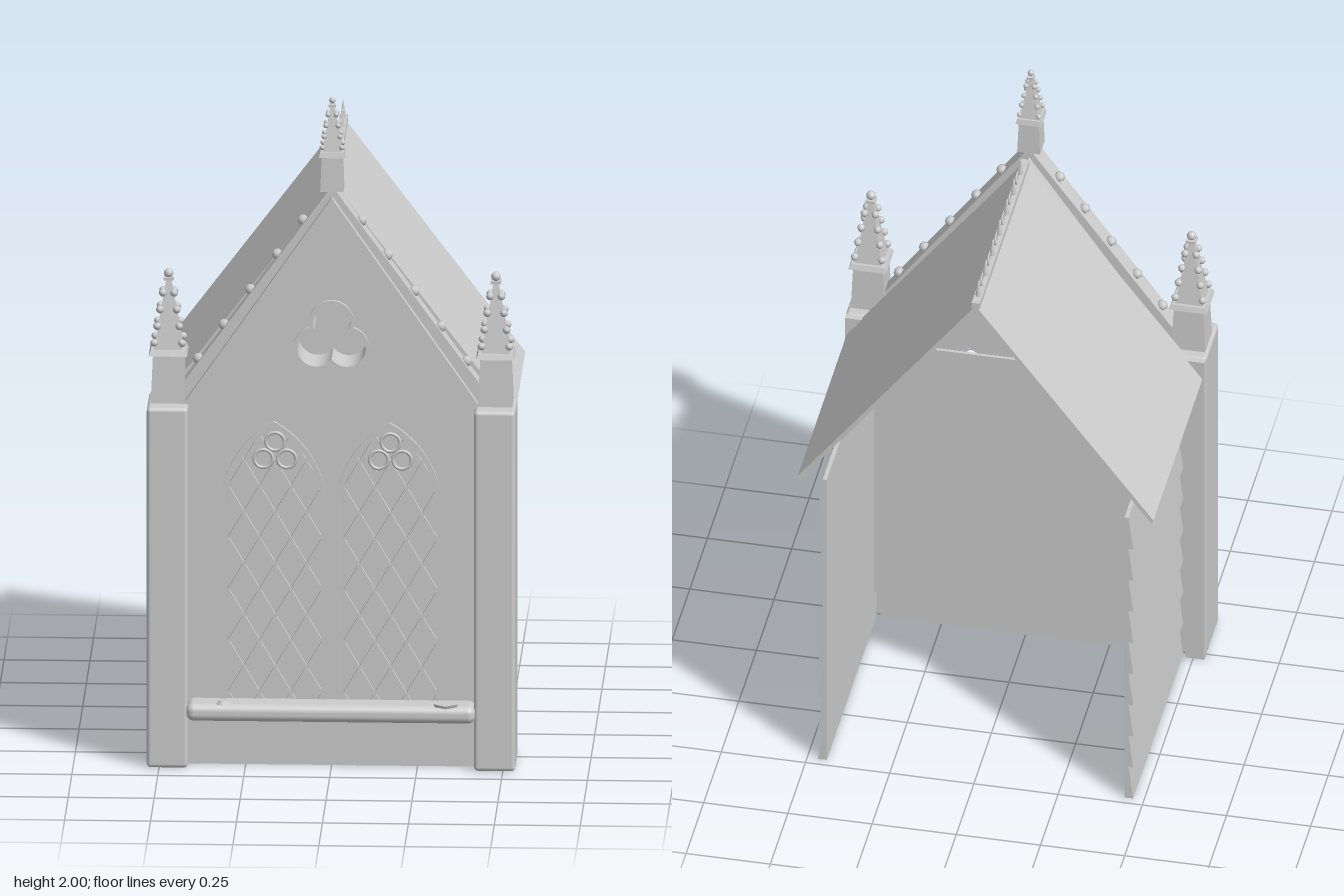
import * as THREE from 'three';
import { RoundedBoxGeometry } from 'three/addons/geometries/RoundedBoxGeometry.js';

const stone = new THREE.MeshStandardMaterial({ color: 0xcccccc });
stone.name = 'stone';

function add(parent, name, geometry, x = 0, y = 0, z = 0) {
  const mesh = new THREE.Mesh(geometry, stone);
  mesh.name = name;
  mesh.position.set(x, y, z);
  parent.add(mesh);
  return mesh;
}

const box = (w, h, d) => new THREE.BoxGeometry(w, h, d);

function extrude(shape, depth) {
  return new THREE.ExtrudeGeometry(shape, { depth, bevelEnabled: false, curveSegments: 16 });
}

function polygon(points) {
  return new THREE.Shape(points.map(([x, y]) => new THREE.Vector2(x, y)));
}

// Pointed window outline, widened by `grow`
const HALF = 0.1375, SPRING = 0.78, WINDOW_X = 0.168;
function lancet(cx, bottom, grow = 0, path = new THREE.Shape()) {
  const w = HALF + grow, r = HALF + w, a = Math.acos(HALF / r);
  path.moveTo(cx - w, bottom);
  path.lineTo(cx + w, bottom);
  path.lineTo(cx + w, SPRING);
  path.absarc(cx - HALF, SPRING, r, 0, a, false);
  path.absarc(cx + HALF, SPRING, r, Math.PI - a, Math.PI, false);
  path.closePath();
  return path;
}

// Three-lobed opening
function trefoil(r, path = new THREE.Shape()) {
  const d = 0.052, cy = 1.285;
  const t = d / 2 + Math.sqrt(r * r - 0.75 * d * d);
  const phi = Math.atan2(t * Math.sin(Math.PI / 3), t / 2 - d);
  for (let i = 0; i < 3; i++) {
    const a = Math.PI / 2 + i * Math.PI * 2 / 3;
    path.absarc(d * Math.cos(a), cy + d * Math.sin(a), r, a - phi, a + phi, false);
  }
  path.closePath();
  return path;
}

// Square spire with corner knobs and a ball finial
function pinnacle(name, s, baseHeight, spireHeight) {
  const g = new THREE.Group();
  g.name = name;
  const square = (top, bottom, h) => new THREE.CylinderGeometry(
    top * Math.SQRT1_2, bottom * Math.SQRT1_2, h, 4).rotateY(Math.PI / 4).toNonIndexed();
  const flat = (geo) => { geo.computeVertexNormals(); return geo; };
  add(g, 'pinnacleBase', flat(square(0.088 * s, 0.1 * s, baseHeight)), 0, baseHeight / 2, 0);
  add(g, 'pinnacleCornice', flat(square(0.1 * s, 0.112 * s, 0.016)), 0, baseHeight + 0.006, 0);
  const y0 = baseHeight + 0.014;
  add(g, 'spire', flat(square(0.012 * s, 0.082 * s, spireHeight)), 0, y0 + spireHeight / 2, 0);
  for (let level = 0; level < 4; level++) {
    const f = 0.1 + level * 0.23;
    const offset = (0.041 - 0.035 * f) * s + 0.003;
    for (const sx of [-1, 1]) for (const sz of [-1, 1]) {
      add(g, 'spireKnob', new THREE.SphereGeometry(0.0115 * s, 8, 6),
        sx * offset, y0 + f * spireHeight, sz * offset);
    }
  }
  add(g, 'finialCollar', box(0.03 * s, 0.008, 0.03 * s), 0, y0 + spireHeight - 0.004, 0);
  add(g, 'finialBall', new THREE.SphereGeometry(0.014 * s, 12, 8), 0, y0 + spireHeight + 0.012, 0);
  return g;
}

export function createModel() {
  const model = new THREE.Group();
  model.name = 'chapel';

  // Gabled front wall with window and trefoil openings
  const front = polygon([[-0.43, 0], [0.43, 0], [0.43, 1.085], [0, 1.708], [-0.43, 1.085]]);
  for (const s of [-1, 1]) front.holes.push(lancet(s * WINDOW_X, 0.13, 0, new THREE.Path()));
  front.holes.push(trefoil(0.055, new THREE.Path()));
  add(model, 'frontWall', extrude(front, 0.128), 0, 0, 0.235);
  add(model, 'trefoilBacking', extrude(trefoil(0.056), 0.01), 0, 0, 0.236);
  const trefoilRing = trefoil(0.065);
  trefoilRing.holes.push(trefoil(0.055, new THREE.Path()));
  add(model, 'trefoilMoulding', extrude(trefoilRing, 0.014), 0, 0, 0.362);

  // Raised coping along the gable
  add(model, 'gableCoping', extrude(polygon([[-0.43, 1.085], [0, 1.70], [0.43, 1.085],
    [0.43, 1.145], [0, 1.738], [-0.43, 1.145]]), 0.057), 0, 0, 0.28);

  // Panel set behind the windows
  add(model, 'innerPanel', box(0.88, 0.91, 0.01), 0, 0.575, 0.195);

  for (const s of [-1, 1]) {
    const cx = s * WINDOW_X;
    const hood = lancet(cx, 0.19, 0.0152);
    hood.holes.push(lancet(cx, 0.191, 0, new THREE.Path()));
    add(model, 'windowMoulding', extrude(hood, 0.012), 0, 0, 0.362);

    // Diagonal lattice bars trimmed to the pointed arch
    const inside = (u, y) => Math.abs(u) < HALF && y > 0.13 &&
      (y < SPRING || Math.hypot(Math.abs(u) + HALF, y - SPRING) < 2 * HALF);
    const slope = 1.7;
    for (const dir of [-1, 1]) for (let c = -0.2; c < 1.4; c += 0.155) {
      const ys = [];
      for (let y = 0.13; y < 1.03; y += 0.004) if (inside(dir * (y - c) / slope, y)) ys.push(y);
      if (ys.length < 5) continue;
      const y0 = ys[0], y1 = ys[ys.length - 1], mid = (y0 + y1) / 2;
      const length = (y1 - y0) * Math.hypot(1, 1 / slope);
      const bar = add(model, 'latticeBar', box(0.007, length, 0.014),
        cx + dir * (mid - c) / slope, mid, 0.262);
      bar.rotation.z = -dir * Math.atan(1 / slope);
    }
    // Three tracery rings
    for (const [u, y] of [[0, 0.952], [-0.034, 0.9], [0.034, 0.9]]) {
      add(model, 'traceryRing', new THREE.TorusGeometry(0.027, 0.005, 6, 20), cx + u, y, 0.285);
    }

    // Corner pillar and its pinnacle
    add(model, 'cornerPillar', new RoundedBoxGeometry(0.12, 1.085, 0.185, 2, 0.012),
      s * 0.476, 0.5425, 0.3275);
    add(model, 'pillarBackStrip', box(0.055, 1.08, 0.03), s * 0.506, 0.541, 0.236);
    const side = pinnacle('sidePinnacle', 1, 0.145, 0.21);
    side.position.set(s * 0.476, 1.085, 0.318);
    model.add(side);

    // Side wall with overlapping boards
    const profile = [[s * 0.442, 0], [s * 0.442, 1.02]];
    const boards = 9, h = 1.02 / boards;
    for (let i = boards - 1; i >= 0; i--) {
      profile.push([s * 0.454, (i + 1) * h], [s * 0.468, i * h]);
    }
    add(model, 'sideWall', extrude(polygon(profile), 0.71), 0, 0, -0.475);

    // Roof slope
    add(model, 'roofSlope', extrude(polygon([[0, 1.722], [s * 0.528, 1.022],
      [s * 0.522, 1.01], [0, 1.702]]), 0.71), 0, 0, -0.475);

    // Knobs on the coping
    for (const x of [0.085, 0.16, 0.238, 0.315, 0.39]) {
      const knob = add(model, 'gableKnob', new THREE.SphereGeometry(0.0165, 7, 5),
        s * x, 1.744 - 1.379 * x, 0.308);
      knob.rotation.z = -s * 0.94;
    }
  }

  // Centre pinnacle on the gable peak
  const peak = pinnacle('peakPinnacle', 0.68, 0.105, 0.137);
  peak.position.set(0, 1.722, 0.312);
  model.add(peak);

  // Rounded window sill with two flat pebbles
  add(model, 'windowSill', new RoundedBoxGeometry(0.84, 0.052, 0.1, 4, 0.022), 0, 0.174, 0.4);
  add(model, 'largePebble', new THREE.CylinderGeometry(0.037, 0.034, 0.009, 5), 0.335, 0.204, 0.432);
  add(model, 'smallPebble', new THREE.CylinderGeometry(0.016, 0.024, 0.012, 5), -0.31, 0.204, 0.428);

  // Ridge with alternating spikes and rings
  add(model, 'ridgeCap', box(0.024, 0.02, 0.71), 0, 1.722, -0.12);
  for (let i = 0; i < 7; i++) {
    const z = 0.165 - i * 0.1;
    add(model, 'ridgeSpike', new THREE.ConeGeometry(0.009, 0.06, 8), 0, 1.76, z);
    add(model, 'ridgeSpikeFoot', new THREE.SphereGeometry(0.008, 8, 6), 0, 1.738, z);
    if (i < 6) {
      add(model, 'ridgeRing', new THREE.TorusGeometry(0.017, 0.003, 6, 20).rotateY(Math.PI / 2),
        0, 1.752, z - 0.05);
    }
  }
  return model;
}
